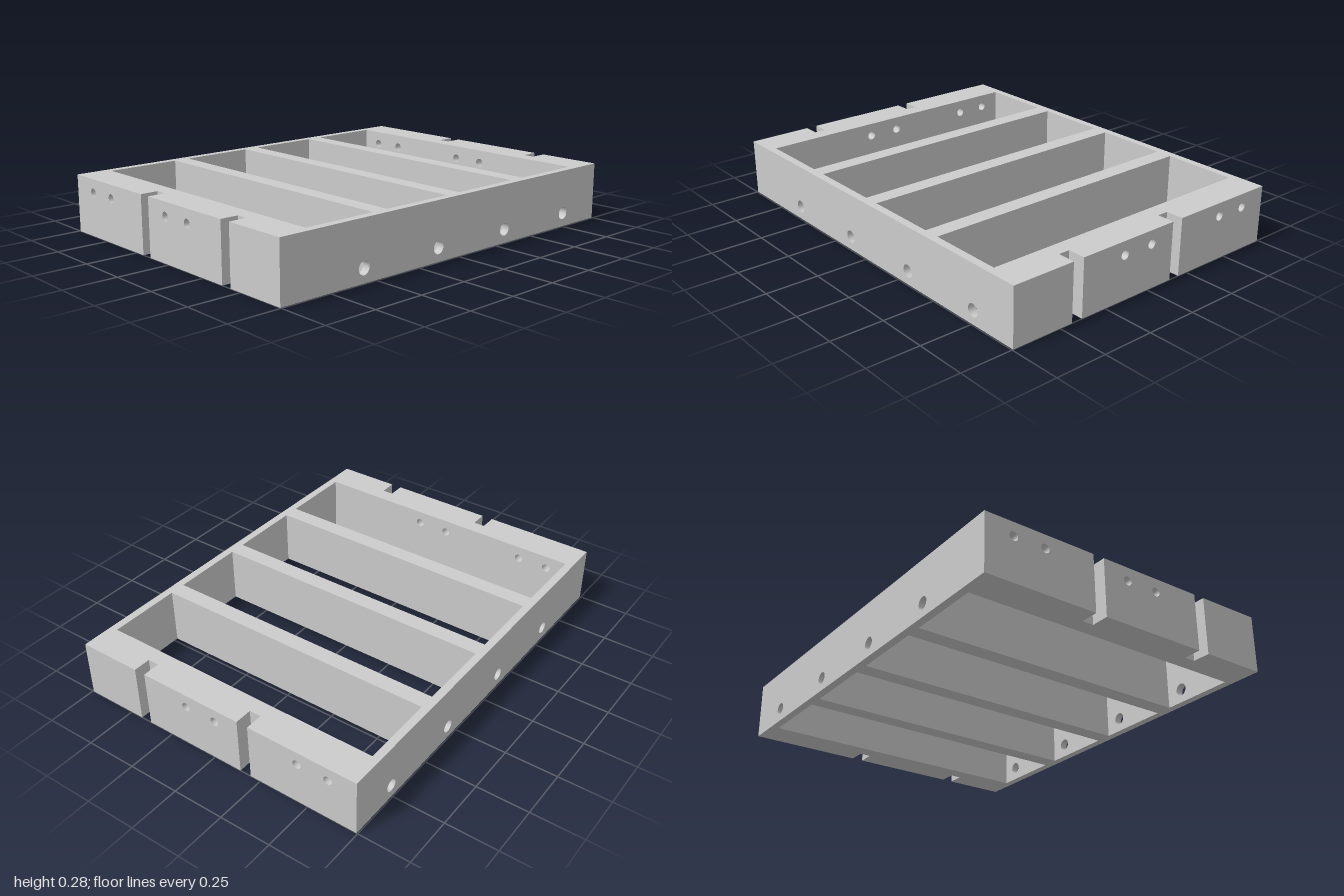
import * as THREE from 'three';
import { mergeGeometries } from 'three/addons/utils/BufferGeometryUtils.js';

const H = 0.275, D = 0.745, INNER_Z = 0.707, INNER_X = 0.84;
const SLOT_X = 0.915;
const SLOTS = [[0.435, 0.38], [-0.142, -0.198]];
const POCKETS = [[-0.84, -0.48], [-0.4, -0.04], [0.04, 0.4], [0.48, 0.84]];
const END_BORES = { at: [-0.565, -0.125, 0.315, 0.755], y: 0.065, r: 0.03 };
const SIDE_BORES = { at: [0.145, -0.015, -0.45, -0.605], y: 0.21, r: 0.021 };

// Plan outline as [x, z] points, with the slots cut into both sides
function outerLoop() {
  const right = SLOTS.flatMap(([a, b]) => [[1, a], [SLOT_X, a], [SLOT_X, b], [1, b]]);
  const left = right.map(([x, z]) => [-x, z]).reverse();
  return [[-1, D], [1, D], ...right, [1, -D], [-1, -D], ...left];
}

const pocketLoop = ([x0, x1]) =>
  [[x0, INNER_Z], [x0, -INNER_Z], [x1, -INNER_Z], [x1, INNER_Z]];

// Upright panel on one plan edge, pierced where bores cross it
function panel([ax, az], [bx, bz]) {
  const dir = new THREE.Vector3(bx - ax, 0, bz - az);
  const length = dir.length();
  dir.normalize();
  const shape = new THREE.Shape();
  shape.moveTo(0, 0).lineTo(length, 0).lineTo(length, H).lineTo(0, H).closePath();
  const alongX = az === bz;
  let bores = null;
  if (alongX && Math.abs(az) >= INNER_Z) bores = END_BORES;
  if (!alongX && Math.abs(ax) >= INNER_X) bores = SIDE_BORES;
  if (bores) {
    for (const p of bores.at) {
      const u = alongX ? (p - ax) * dir.x : (p - az) * dir.z;
      if (u < bores.r || u > length - bores.r) continue;
      shape.holes.push(new THREE.Path().absarc(u, bores.y, bores.r, 0, Math.PI * 2, true));
    }
  }
  const up = new THREE.Vector3(0, 1, 0);
  const matrix = new THREE.Matrix4().makeBasis(dir, up, dir.clone().cross(up));
  matrix.setPosition(ax, 0, az);
  return new THREE.ShapeGeometry(shape, 12).applyMatrix4(matrix);
}

const walls = (loop) =>
  mergeGeometries(loop.map((p, i) => panel(p, loop[(i + 1) % loop.length])));

// Flat plan face with the four pockets open; sign +1 faces up, -1 faces down
function planFace(sign) {
  const points = (loop) => loop.map(([x, z]) => new THREE.Vector2(x, -sign * z));
  const shape = new THREE.Shape(points(outerLoop()));
  shape.holes = POCKETS.map((p) => new THREE.Path(points(pocketLoop(p))));
  return new THREE.ShapeGeometry(shape)
    .rotateX(-sign * Math.PI / 2)
    .translate(0, sign > 0 ? H : 0, 0);
}

// Linings of the round holes through the end and side walls
function boreLinings() {
  const parts = [];
  for (const s of [-1, 1]) {
    for (const x of END_BORES.at) {
      parts.push(new THREE.CylinderGeometry(END_BORES.r, END_BORES.r, D - INNER_Z, 24, 1, true)
        .rotateX(Math.PI / 2).translate(x, END_BORES.y, s * (D + INNER_Z) / 2));
    }
    for (const z of SIDE_BORES.at) {
      parts.push(new THREE.CylinderGeometry(SIDE_BORES.r, SIDE_BORES.r, 1 - INNER_X, 24, 1, true)
        .rotateZ(Math.PI / 2).translate(s * (1 + INNER_X) / 2, SIDE_BORES.y, z));
    }
  }
  return mergeGeometries(parts);
}

export function createModel() {
  const group = new THREE.Group();
  group.name = 'slottedFrame';
  const grey = new THREE.MeshStandardMaterial({ color: 0xcccccc });
  const lining = new THREE.MeshStandardMaterial({ color: 0xcccccc, side: THREE.BackSide });
  const add = (name, geometry, material = grey) => {
    const mesh = new THREE.Mesh(geometry, material);
    mesh.name = name;
    group.add(mesh);
  };

  add('topFace', planFace(1));
  add('bottomFace', planFace(-1));
  add('outerWalls', walls(outerLoop()));
  POCKETS.forEach((p, i) => add(`pocketWalls${i + 1}`, walls(pocketLoop(p))));
  add('boreLinings', boreLinings(), lining);
  return group;
}
